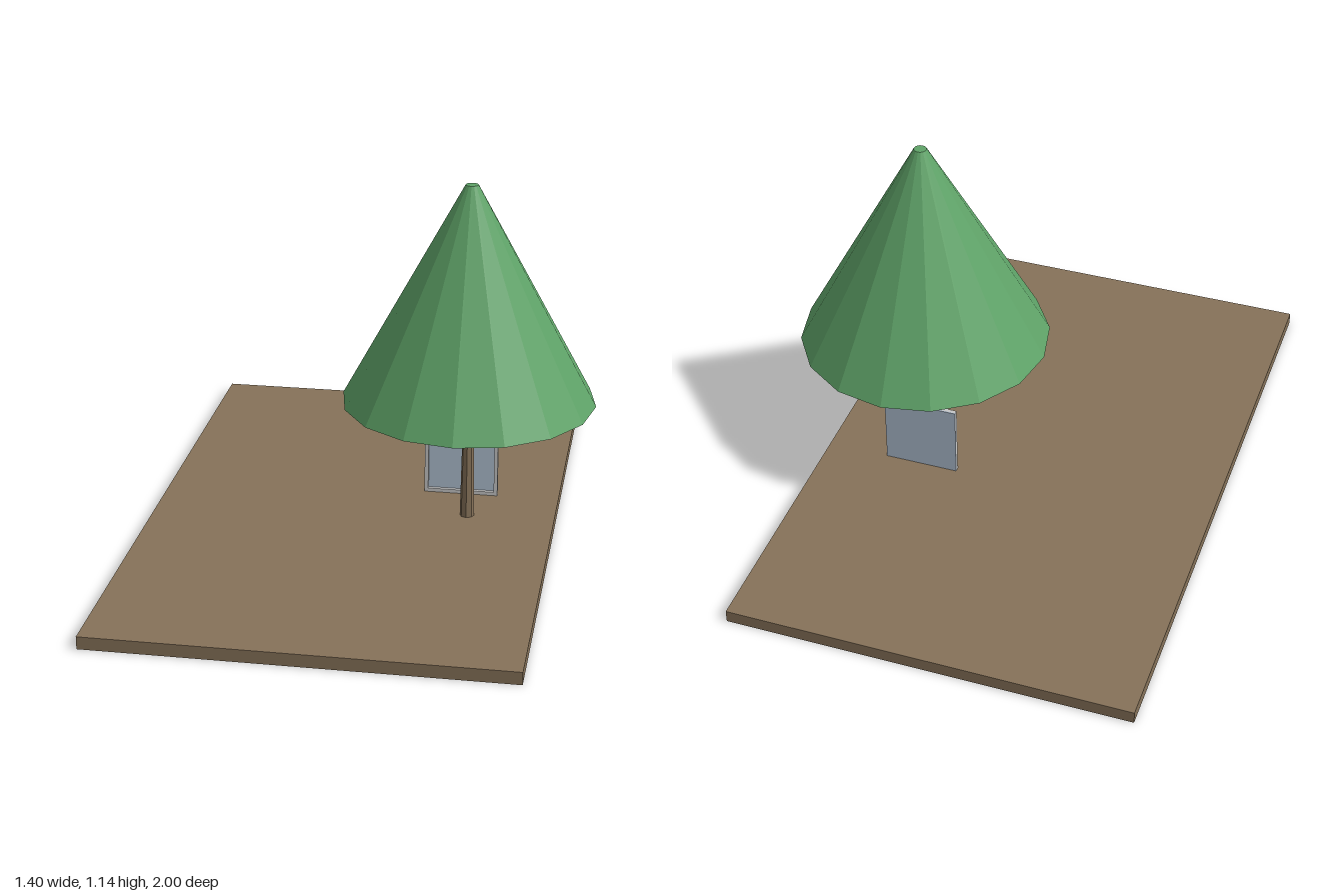
import * as THREE from 'three';

const material = (name, color, flatShading = false) => {
  const m = new THREE.MeshStandardMaterial({ color, flatShading });
  m.name = name;
  return m;
};

export function createModel() {
  const earth = material('earth brown', 0x867259, true);
  const leaf = material('leaf green', 0x5fa368, true);
  const metal = material('light grey', 0xc8c8c8);
  const glass = material('pale blue', 0xb0c0d2);

  const model = new THREE.Group();
  const add = (name, geometry, mat, x, y, z) => {
    const mesh = new THREE.Mesh(geometry, mat);
    mesh.name = name;
    mesh.position.set(x, y, z);
    model.add(mesh);
  };

  // Ground slab
  add('ground', new THREE.BoxGeometry(1.28, 0.04, 2), earth, -0.06, 0.02, 0);

  // Tree: tapered trunk under a faceted cone with a small flat tip
  add('trunk', new THREE.CylinderGeometry(0.016, 0.023, 0.4, 8), earth, 0.3, 0.24, 0);
  add('canopy', new THREE.CylinderGeometry(0.02, 0.4, 0.7, 16), leaf, 0.3, 0.79, 0);

  // Upright panel: square frame open at the front, closed by a thin back plate
  const square = (Target, half) => {
    const s = new Target();
    s.moveTo(-half, -half).lineTo(half, -half).lineTo(half, half).lineTo(-half, half).closePath();
    return s;
  };
  const rim = square(THREE.Shape, 0.12);
  rim.holes.push(square(THREE.Path, 0.108));
  add('panelFrame', new THREE.ExtrudeGeometry(rim, { depth: 0.012, bevelEnabled: false }), metal, 0.26, 0.16, -0.172);
  add('panelSheet', new THREE.BoxGeometry(0.24, 0.24, 0.004), glass, 0.26, 0.16, -0.174);

  return model;
}
